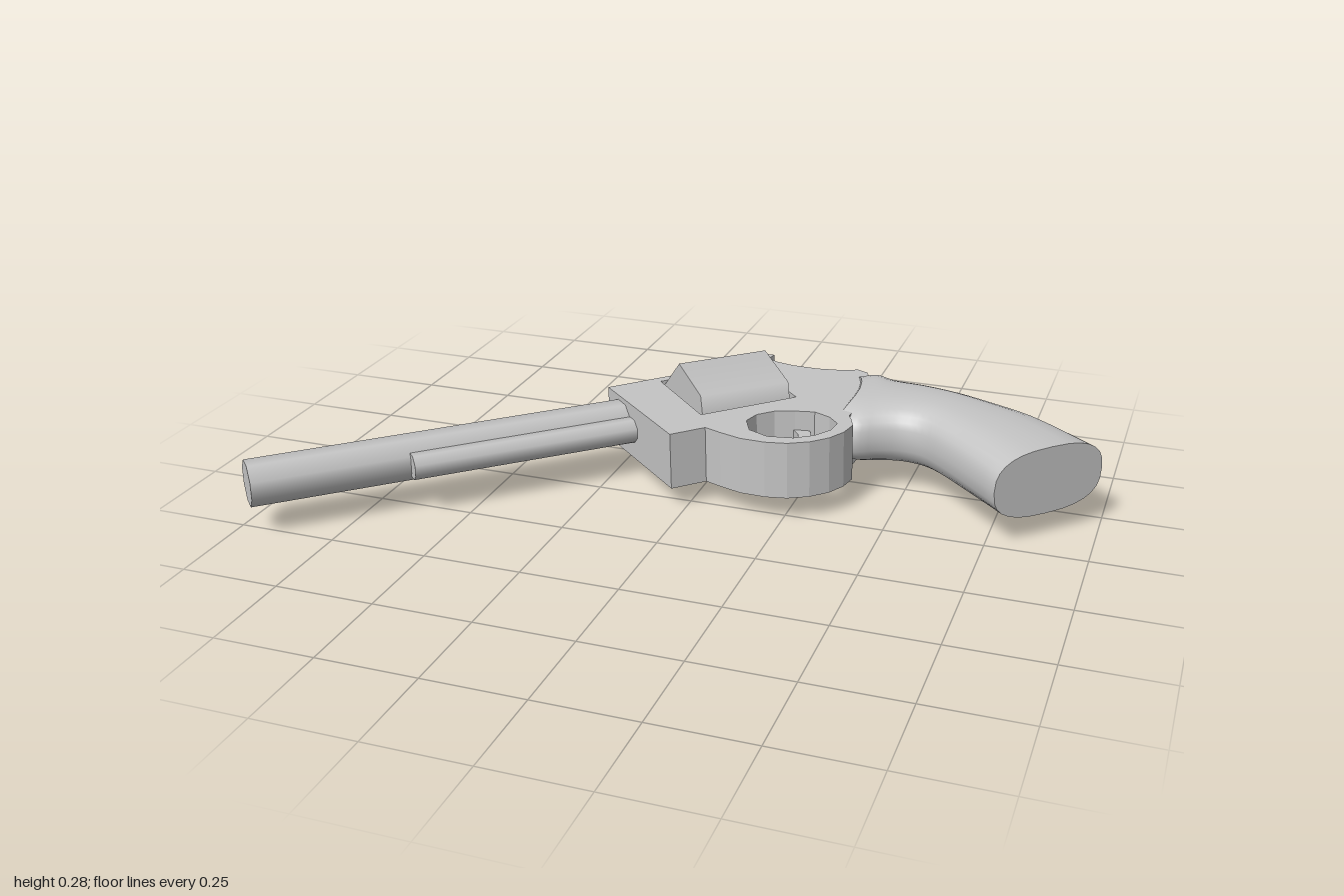
import * as THREE from 'three';
import { toCreasedNormals } from 'three/addons/utils/BufferGeometryUtils.js';

const ANGLE = 0.751; // barrel direction in the ground plane

function named(geometry, material, name) {
  const mesh = new THREE.Mesh(geometry, material);
  mesh.name = name;
  return mesh;
}

// Plate drawn in plan (x, z) with thickness along y, centred on y = 0
function plate(outline, holes, thickness) {
  const pts = (list) => list.map(([x, z]) => new THREE.Vector2(x, -z));
  const shape = new THREE.Shape(pts(outline));
  holes.forEach((h) => shape.holes.push(new THREE.Path(pts(h))));
  const g = new THREE.ExtrudeGeometry(shape, { depth: thickness, bevelEnabled: false });
  return g.translate(0, 0, -thickness / 2).rotateX(-Math.PI / 2);
}

// Prism along local x, from x0 to x1, with a chosen roll
function prism(radius, sides, x0, x1, roll) {
  const g = new THREE.CylinderGeometry(radius, radius, x1 - x0, sides);
  return g.rotateY(roll).rotateZ(-Math.PI / 2).translate((x0 + x1) / 2, 0, 0).toNonIndexed();
}

// Grip lofted through boxy oval sections
function gripGeometry() {
  // back x, back z, front x, front z, half height, bow
  const keys = [
    [0.295, -0.50, 0.32, -0.18, 0.080, 0.04],
    [0.345, -0.53, 0.375, -0.165, 0.083, 0.02],
    [0.41, -0.492, 0.43, -0.195, 0.085, 0],
    [0.50, -0.475, 0.485, -0.215, 0.086, 0],
    [0.60, -0.447, 0.54, -0.208, 0.087, 0],
    [0.70, -0.408, 0.60, -0.16, 0.088, 0],
    [0.82, -0.35, 0.67, -0.09, 0.09, 0],
    [0.99, -0.22, 0.767, 0.013, 0.088, 0],
  ];
  const curve = (a, b, c) => new THREE.CatmullRomCurve3(
    keys.map((k) => new THREE.Vector3(k[a], k[b], k[c])));
  const backs = curve(0, 1, 4), fronts = curve(2, 3, 5);
  const N = 21, M = 28, pos = [], idx = [];
  const power = (v, p) => Math.sign(v) * Math.abs(v) ** p;
  for (let i = 0; i <= N; i++) {
    const a = backs.getPoint(i / N), b = fronts.getPoint(i / N);
    for (let j = 0; j < M; j++) {
      const t = (j / M) * Math.PI * 2;
      const c = power(Math.cos(t), 0.75), s = power(Math.sin(t), 0.75);
      pos.push((a.x + b.x) / 2 + (a.x - b.x) / 2 * c + b.z * (1 - c * c), a.z * s,
        (a.y + b.y) / 2 + (a.y - b.y) / 2 * c);
    }
  }
  for (let i = 0; i < N; i++) for (let j = 0; j < M; j++) {
    const k = (j + 1) % M, p = i * M, q = p + M;
    idx.push(p + j, p + k, q + k, p + j, q + k, q + j);
  }
  // End caps
  for (let j = 1; j < M - 1; j++) {
    idx.push(0, j + 1, j, N * M, N * M + j, N * M + j + 1);
  }
  const g = new THREE.BufferGeometry();
  g.setAttribute('position', new THREE.Float32BufferAttribute(pos, 3));
  g.setIndex(idx);
  return toCreasedNormals(g, 0.8);
}

export function createModel() {
  const group = new THREE.Group();
  const metal = new THREE.MeshStandardMaterial({ color: 0xc4c4c4 });
  metal.name = 'light grey';

  // Frame with trigger guard, cylinder window and rear sight
  const outline = [
    [-0.305, -0.205], [-0.035, 0.055], [0.035, -0.012], [0.08, 0.008], [0.14, 0.03],
    [0.205, 0.036], [0.26, 0.028], [0.31, 0.003], [0.35, -0.035], [0.375, -0.08],
    [0.385, -0.13], [0.372, -0.165], [0.36, -0.19], [0.37, -0.3], [0.37, -0.4],
    [0.33, -0.5], [0.30, -0.515], [0.26, -0.5], [0.19, -0.493], [0.12, -0.5],
    [0.07, -0.515], [0.042, -0.535], [0.048, -0.565], [0.022, -0.565], [0.015, -0.545],
    [-0.035, -0.495], [-0.035, -0.465],
  ];
  const guardHole = [
    [0.12, -0.085], [0.133, -0.13], [0.17, -0.165], [0.22, -0.18], [0.27, -0.188],
    [0.315, -0.165], [0.345, -0.13], [0.34, -0.085], [0.31, -0.04], [0.265, -0.01],
    [0.20, -0.002], [0.145, -0.03],
  ];
  const cos = Math.cos(ANGLE), sin = Math.sin(ANGLE);
  const windowHole = [[-1, -1], [1, -1], [1, 1], [-1, 1]].map(([a, b]) => {
    const u = a * 0.136, v = b * 0.133;
    return [0.005 + u * cos + v * sin, -0.28 - u * sin + v * cos];
  });
  const frame = named(plate(outline, [guardHole, windowHole], 0.148), metal, 'frame');
  frame.position.y = 0.128;
  frame.rotation.z = 0.025;
  group.add(frame);

  // Curved trigger
  const trigger = named(plate([
    [0.20, -0.20], [0.235, -0.155], [0.248, -0.10], [0.235, -0.055], [0.215, -0.03],
    [0.235, -0.03], [0.262, -0.06], [0.275, -0.10], [0.27, -0.15], [0.25, -0.21],
  ], [], 0.045), metal, 'trigger');
  trigger.position.y = 0.133;
  group.add(trigger);

  // Parts along the barrel axis
  const axis = new THREE.Group();
  axis.name = 'barrelAssembly';
  axis.position.set(-0.96, 0.128, 0.522);
  axis.rotation.y = ANGLE;
  const barrel = named(prism(0.059, 8, 0, 1.06, Math.PI / 8), metal, 'barrel');
  const rod = named(prism(0.034, 8, 0.394, 1.06, Math.PI / 8), metal, 'ejectorRod');
  rod.position.z = 0.063;
  const cylinder = named(prism(0.145, 6, -0.125, 0.125, 0), metal, 'cylinder');
  cylinder.position.set(1.252, 0.012, 0.072);
  cylinder.rotation.x = Math.PI / 2 - Math.PI / 3 - 0.244 + Math.PI / 3 - Math.PI / 2 + Math.PI / 2;
  const pin = named(prism(0.03, 8, 1.09, 1.41, 0), metal, 'cylinderPin');
  pin.position.set(0, 0.012, 0.072);
  [barrel, rod, pin].forEach((m) => axis.add(m));
  axis.add(cylinder);
  group.add(axis);

  // Grip
  const grip = named(gripGeometry(), metal, 'grip');
  grip.position.y = 0.148;
  group.add(grip);

  return group;
}
